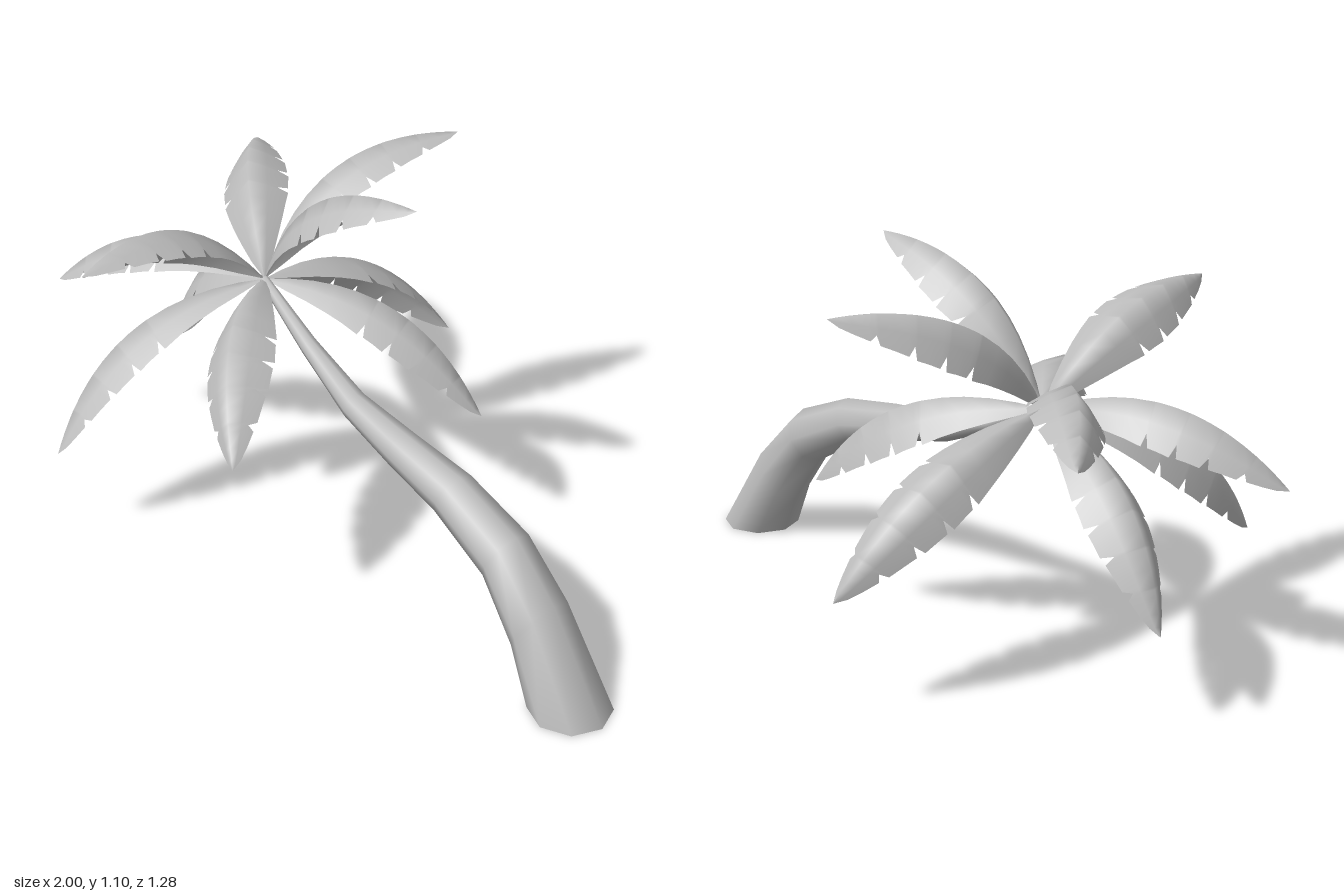
import * as THREE from 'three';

const V = (x, y, z) => new THREE.Vector3(x, y, z);

// Indexed grid surface from equal-length rows of points, smooth shaded
function gridGeometry(rows, closed) {
  const n = rows[0].length, pos = [], index = [];
  rows.forEach(row => row.forEach(p => pos.push(p.x, p.y, p.z)));
  for (let i = 0; i < rows.length - 1; i++) {
    for (let j = 0; j < (closed ? n : n - 1); j++) {
      const a = i * n + j, b = i * n + (j + 1) % n;
      index.push(a, a + n, b, b, a + n, b + n);
    }
  }
  const g = new THREE.BufferGeometry();
  g.setAttribute('position', new THREE.Float32BufferAttribute(pos, 3));
  g.setIndex(index);
  g.computeVertexNormals();
  return g;
}

// Bent trunk: eight-sided rings [x, y, z, radius, tilt in degrees], the first flat on the ground
const TRUNK = [
  [0.888, 0, 0.095, 0.113, 0], [0.763, 0.203, 0.092, 0.093, 58], [0.633, 0.35, 0.09, 0.08, 63],
  [0.437, 0.445, 0.092, 0.067, 65], [0.24, 0.49, 0.092, 0.054, 78], [0.04, 0.53, 0.08, 0.04, 74],
  [-0.18, 0.61, 0.05, 0.026, 67], [-0.405, 0.715, 0.018, 0.014, 62],
];

function trunkGeometry() {
  const rows = TRUNK.map(([x, y, z, r, tilt]) => {
    const k = THREE.MathUtils.degToRad(tilt);
    return Array.from({ length: 8 }, (_, j) => {
      const a = j * Math.PI / 4, c = r * Math.cos(a);
      return V(x + Math.cos(k) * c, y + Math.sin(k) * c, z + r * Math.sin(a));
    });
  });
  return gridGeometry(rows, true);
}

// Leaf stations along the rib: [t, edge factor]; the factor cuts narrow notches
function stations() {
  const list = [[0, 1], [0.08, 1], [0.17, 1], [0.26, 1], [0.34, 1]];
  for (const t of [0.43, 0.57, 0.71, 0.85]) {
    list.push([t - 0.005, 1.02], [t + 0.005, 0.74], [t + 0.028, 1], [t + 0.08, 1]);
  }
  list.push([0.97, 1], [1, 1]);
  return list;
}

// The crown leans along the trunk, so leaves arch and roll about this axis
const CROWN = V(-0.405, 0.715, 0.015);
const CROWN_UP = V(-0.4, 0.92, 0).normalize();

function leafGeometry(tip) {
  const chord = tip.clone().sub(CROWN).normalize();
  const side = CROWN_UP.clone().cross(chord).normalize();
  const bulge = chord.clone().cross(side);
  const mid = CROWN.clone().lerp(tip, 0.5).addScaledVector(bulge, 0.26);
  const rib = new THREE.QuadraticBezierCurve3(CROWN, mid, tip);
  const rows = stations().map(([t, edge]) => {
    const p = rib.getPoint(t), up = rib.getTangent(t).cross(side);
    const w = Math.pow(Math.max(Math.sin(Math.PI * Math.pow(t, 1.1)), 0), 0.7);
    return [-1, -0.5, 0, 0.5, 1].map(s => {
      const k = Math.abs(s) === 1 ? s * edge : s;
      return p.clone()
        .addScaledVector(side, 0.097 * w * k)
        .addScaledVector(up, -0.082 * w * Math.pow(Math.abs(k), 1.2));
    });
  });
  return gridGeometry(rows, false);
}

const LEAF_TIPS = [
  [-0.97, 0.81, -0.44], [-0.93, 0.275, -0.09], [-1, 0.58, 0.3], [-0.62, 0.285, 0.605],
  [-0.39, 0.955, 0.64], [0.07, 0.53, 0.53], [0.13, 1.1, -0.06], [0.19, 0.42, -0.26],
  [-0.24, 1.04, -0.57], [-0.33, 0.335, -0.64],
];

export function createModel() {
  const model = new THREE.Group();
  model.name = 'palmTree';
  const grey = new THREE.MeshStandardMaterial({ color: 0xbcbcbc, side: THREE.DoubleSide });
  grey.name = 'plainGrey';
  const add = (name, geometry) => {
    const mesh = new THREE.Mesh(geometry, grey);
    mesh.name = name;
    model.add(mesh);
    return mesh;
  };

  add('trunk', trunkGeometry());

  // Flat underside of the trunk
  const base = add('trunkBase', new THREE.CircleGeometry(TRUNK[0][3], 8).rotateX(Math.PI / 2));
  base.position.set(TRUNK[0][0], 0, TRUNK[0][2]);

  LEAF_TIPS.forEach((tip, i) => add('leaf' + (i + 1), leafGeometry(V(...tip))));
  return model;
}
